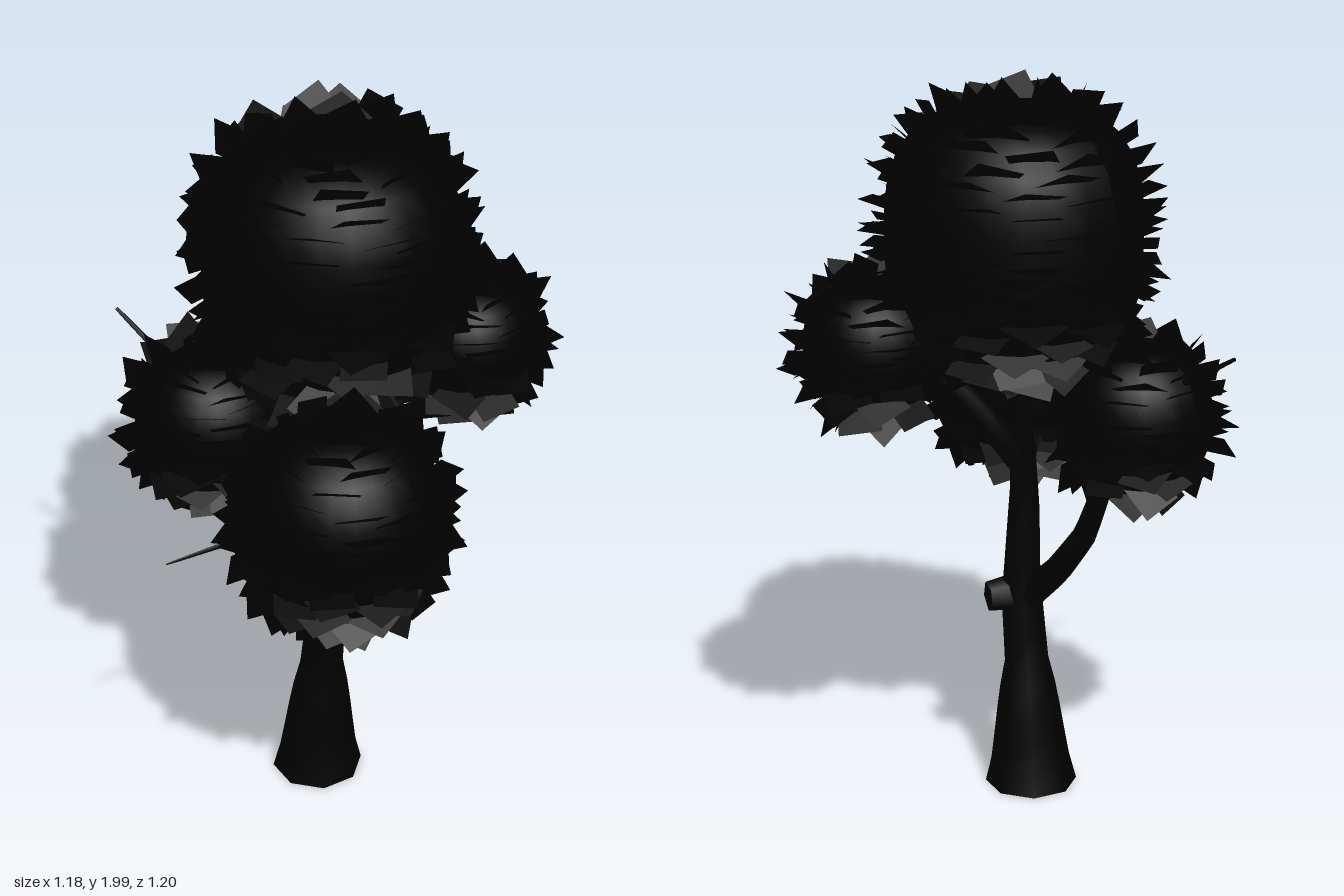
import * as THREE from 'three';

// Small seeded random generator
function seeded(seed) {
  let s = seed;
  return () => {
    s = (s * 16807) % 2147483647;
    return s / 2147483647;
  };
}

// Tapering limb: a tube along straight runs, whose rings are scaled along its path
function limb(name, points, radii, material, sides = 8) {
  const curve = new THREE.CatmullRomCurve3(points.map((p) => new THREE.Vector3(...p)), false, 'catmullrom', 0.12);
  const steps = (points.length - 1) * 4;
  const geometry = new THREE.TubeGeometry(curve, steps, 1, sides);
  const pos = geometry.attributes.position;
  const v = new THREE.Vector3();
  for (let i = 0; i <= steps; i++) {
    const t = curve.getUtoTmapping(i / steps) * (radii.length - 1);
    const k = Math.min(Math.floor(t), radii.length - 2);
    const radius = THREE.MathUtils.lerp(radii[k], radii[k + 1], t - k);
    const centre = curve.getPointAt(i / steps);
    for (let j = 0; j <= sides; j++) {
      const n = i * (sides + 1) + j;
      v.fromBufferAttribute(pos, n).sub(centre).multiplyScalar(radius).add(centre);
      pos.setXYZ(n, v.x, i === 0 && centre.y === 0 ? 0 : v.y, v.z);
    }
  }
  geometry.computeVertexNormals();
  const mesh = new THREE.Mesh(geometry, material);
  mesh.name = name;
  return mesh;
}

// Point on a slightly squared unit ball
function bulge(d, p) {
  const rho = Math.hypot(d.x, d.z);
  return d.clone().multiplyScalar((rho ** p + Math.abs(d.y) ** p) ** (-1 / p));
}

// Leaf clump: rounded core with broad ragged leaves lying across and sticking out
function clump(name, { centre, size, power, leaves, length, width, seed }, material) {
  const group = new THREE.Group();
  group.name = name;
  group.position.set(...centre);
  const scale = new THREE.Vector3(...size);
  const rand = seeded(seed);

  const core = new THREE.SphereGeometry(1, 24, 16);
  const pos = core.attributes.position;
  const v = new THREE.Vector3();
  for (let i = 0; i < pos.count; i++) {
    const q = bulge(v.fromBufferAttribute(pos, i).normalize(), power).multiply(scale);
    pos.setXYZ(i, q.x, q.y, q.z);
  }
  core.computeVertexNormals();
  const coreMesh = new THREE.Mesh(core, material);
  coreMesh.name = name + 'Core';

  const corners = [];
  const up = new THREE.Vector3(0, 1, 0);
  for (let i = 0; i < leaves; i++) {
    const y = 1 - (2 * (i + 0.5)) / leaves;
    const angle = i * 2.39996 + (rand() - 0.5) * 0.4;
    const ring = Math.sqrt(1 - y * y);
    const dir = new THREE.Vector3(ring * Math.cos(angle), y, ring * Math.sin(angle));
    const root = bulge(dir, power).multiply(scale);
    const out = dir.clone().divide(scale).normalize();
    const side = new THREE.Vector3().crossVectors(up, out).normalize();
    // Square leaf turned so that one corner or one edge points outward
    const turn = (rand() - 0.5) * 1.3;
    const reach = length * (0.6 + 0.4 * rand());
    const [a, b, c, d] = [0, 1, 2, 3].map((k) => {
      const w = turn + (k * Math.PI) / 2;
      return root.clone()
        .addScaledVector(out, Math.cos(w) * reach)
        .addScaledVector(side, (Math.sin(w) * width) / 2);
    });
    for (const p of [a, b, c, a, c, d]) corners.push(p.x, p.y, p.z);
  }
  const leafGeometry = new THREE.BufferGeometry();
  leafGeometry.setAttribute('position', new THREE.Float32BufferAttribute(corners, 3));
  leafGeometry.computeVertexNormals();
  const leafMesh = new THREE.Mesh(leafGeometry, material);
  leafMesh.name = name + 'Leaves';

  group.add(coreMesh, leafMesh);
  return group;
}

export function createModel() {
  const tree = new THREE.Group();
  tree.name = 'tree';
  const black = new THREE.MeshStandardMaterial({ color: 0x000000, side: THREE.DoubleSide });
  black.name = 'black';

  // Trunk, flared at the foot, rising into the top clump
  tree.add(limb('trunk',
    [[0, 0, 0.035], [0.01, 0.34, 0.03], [0.03, 0.56, 0.03], [0.02, 0.85, 0.03], [0.01, 1.12, 0], [-0.02, 1.45, -0.05]],
    [0.126, 0.061, 0.054, 0.038, 0.032, 0.012], black));
  const foot = new THREE.Mesh(new THREE.CircleGeometry(0.124, 8), black);
  foot.name = 'trunkFoot';
  foot.rotation.x = Math.PI / 2;
  foot.position.set(0, 0.001, 0.035);
  tree.add(foot);

  // Branches into the lower clumps
  tree.add(limb('rightBranch',
    [[0.02, 0.54, 0.03], [-0.08, 0.64, 0.05], [-0.15, 0.75, 0.08], [-0.19, 0.88, 0.1], [-0.25, 1.08, 0.13]],
    [0.045, 0.038, 0.032, 0.026, 0.012], black, 6));
  tree.add(limb('leftBranch',
    [[0.02, 0.88, 0.03], [0.08, 0.97, 0.12], [0.2, 1.08, 0.25]], [0.03, 0.026, 0.014], black, 6));
  tree.add(limb('backBranch',
    [[0.02, 0.93, 0.02], [0.06, 1.05, -0.06], [0.12, 1.17, -0.14], [0.2, 1.3, -0.31]],
    [0.036, 0.034, 0.028, 0.012], black, 6));

  // Cut stub behind the trunk
  const stub = new THREE.Mesh(new THREE.CylinderGeometry(0.042, 0.055, 0.09, 5), black);
  stub.name = 'branchStub';
  stub.position.set(0.06, 0.55, -0.008);
  stub.quaternion.setFromUnitVectors(new THREE.Vector3(0, 1, 0), new THREE.Vector3(0.5, -0.05, -0.85).normalize());
  tree.add(stub);

  // Bare twigs poking out of the leaves
  tree.add(limb('rightTwig', [[-0.36, 1.18, 0.12], [-0.47, 1.24, 0.12], [-0.6, 1.32, 0.12]], [0.01, 0.009, 0.005], black, 5));
  tree.add(limb('frontTwig', [[0.06, 0.99, 0.34], [0, 0.98, 0.44], [-0.07, 0.97, 0.58]], [0.01, 0.008, 0.002], black, 5));

  // Leaf clumps
  const clumps = {
    topClump: { centre: [-0.03, 1.58, -0.065], size: [0.335, 0.34, 0.33], power: 2.9, leaves: 200, length: 0.085, width: 0.17, seed: 11 },
    leftClump: { centre: [0.255, 1.09, 0.285], size: [0.255, 0.265, 0.255], power: 2.5, leaves: 150, length: 0.08, width: 0.16, seed: 23 },
    rightClump: { centre: [-0.28, 1.1, 0.13], size: [0.2, 0.2, 0.2], power: 2.4, leaves: 100, length: 0.085, width: 0.15, seed: 37 },
    backClump: { centre: [0.215, 1.3, -0.335], size: [0.18, 0.175, 0.185], power: 2.4, leaves: 85, length: 0.09, width: 0.16, seed: 51 },
  };
  for (const [name, spec] of Object.entries(clumps)) tree.add(clump(name, spec, black));
  return tree;
}
